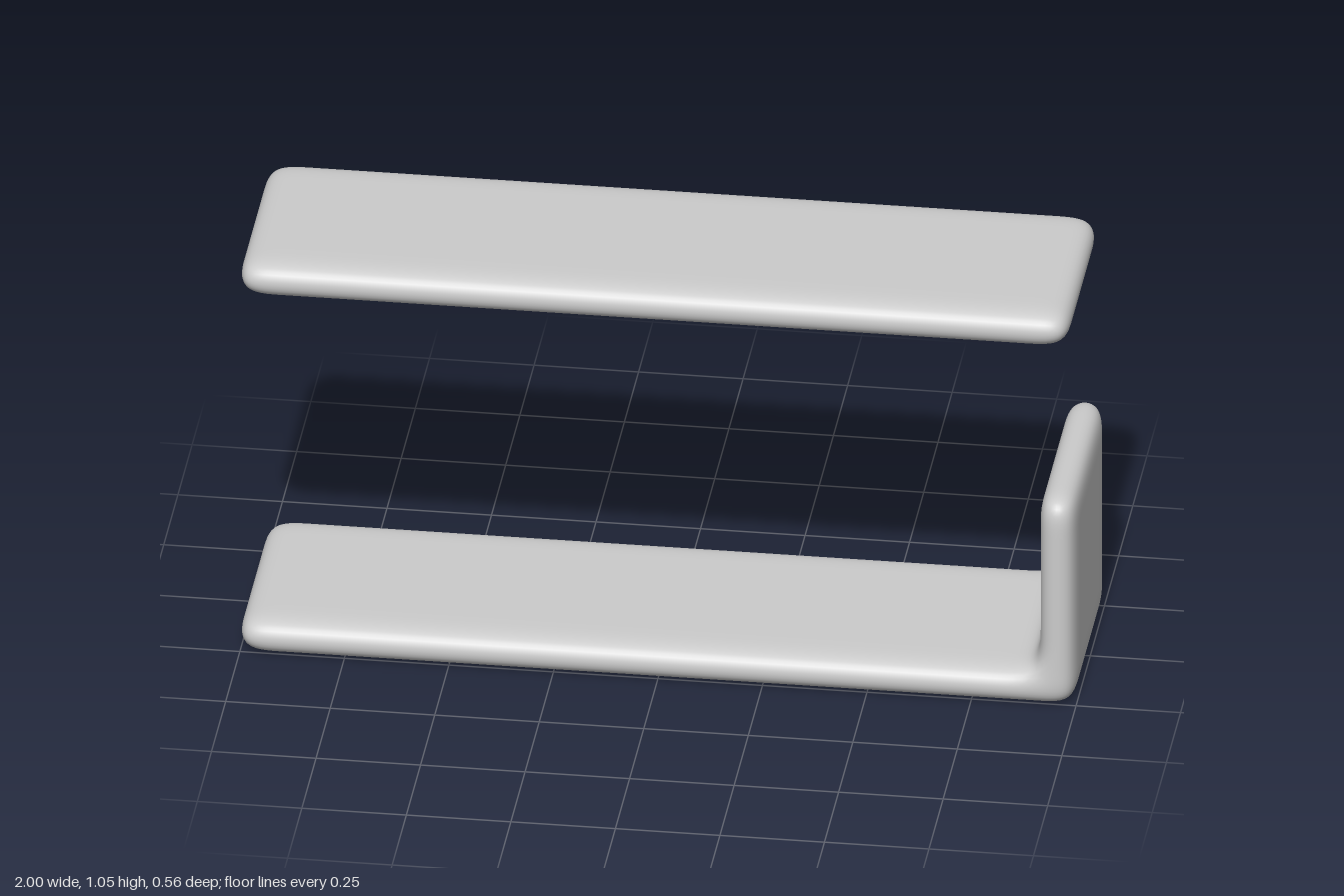
import * as THREE from 'three';

// Outer quads of the filled cells in a grid given by coordinate lists per axis
function gridCage(axes, filled) {
  const ids = new Map(), verts = [], quads = [];
  const count = axes.map((a) => a.length - 1);
  const isFull = (c) => c.every((n, i) => n >= 0 && n < count[i]) && filled(c);
  const vertex = (c) => {
    const key = c.join();
    if (!ids.has(key)) {
      ids.set(key, verts.length);
      verts.push(new THREE.Vector3(...c.map((n, i) => axes[i][n])));
    }
    return ids.get(key);
  };
  for (let i = 0; i < count[0]; i++) for (let j = 0; j < count[1]; j++) for (let k = 0; k < count[2]; k++) {
    const cell = [i, j, k];
    if (!isFull(cell)) continue;
    for (let d = 0; d < 3; d++) for (const s of [-1, 1]) {
      const next = [...cell];
      next[d] += s;
      if (isFull(next)) continue;
      const quad = [[0, 0], [1, 0], [1, 1], [0, 1]].map(([u, v]) => {
        const c = [...cell];
        if (s > 0) c[d]++;
        c[(d + 1) % 3] += u;
        c[(d + 2) % 3] += v;
        return vertex(c);
      });
      quads.push(s > 0 ? quad : quad.reverse());
    }
  }
  return { verts, quads };
}

// One round of Catmull-Clark smoothing on a closed quad mesh
function subdivide({ verts, quads }) {
  const n = verts.length;
  const out = verts.map(() => new THREE.Vector3());
  const edges = new Map(), result = [];
  const faceSum = verts.map(() => new THREE.Vector3());
  const edgeSum = verts.map(() => new THREE.Vector3());
  const valence = new Array(n).fill(0);
  const edgeOf = (a, b) => {
    const key = Math.min(a, b) * n + Math.max(a, b);
    if (!edges.has(key)) {
      const mid = verts[a].clone().add(verts[b]);
      edges.set(key, out.length);
      out.push(mid.clone().multiplyScalar(0.25));
      for (const v of [a, b]) {
        edgeSum[v].addScaledVector(mid, 0.5);
        valence[v]++;
      }
    }
    return edges.get(key);
  };
  for (const q of quads) {
    const centre = new THREE.Vector3();
    q.forEach((v) => centre.addScaledVector(verts[v], 0.25));
    const f = out.push(centre) - 1;
    const e = q.map((v, i) => edgeOf(v, q[(i + 1) % 4]));
    q.forEach((v, i) => {
      faceSum[v].add(centre);
      out[e[i]].addScaledVector(centre, 0.25);
      result.push([v, e[i], f, e[(i + 3) % 4]]);
    });
  }
  for (let v = 0; v < n; v++) {
    const k = valence[v];
    out[v].copy(verts[v]).multiplyScalar((k - 3) / k)
      .addScaledVector(faceSum[v], 1 / (k * k))
      .addScaledVector(edgeSum[v], 2 / (k * k));
  }
  return { verts: out, quads: result };
}

function softSolid(name, axes, filled, material) {
  let cage = gridCage(axes, filled);
  for (let i = 0; i < 3; i++) cage = subdivide(cage);
  const geometry = new THREE.BufferGeometry().setFromPoints(cage.verts);
  geometry.setIndex(cage.quads.flatMap(([a, b, c, d]) => [a, b, c, a, c, d]));
  geometry.computeVertexNormals();
  const mesh = new THREE.Mesh(geometry, material);
  mesh.name = name;
  return mesh;
}

export function createModel() {
  const group = new THREE.Group();
  group.name = 'wallShelves';
  const grey = new THREE.MeshStandardMaterial({ color: 0xcccccc });
  grey.name = 'light grey';
  const depth = [-0.28, -0.17, 0, 0.17, 0.28];

  // Straight upper board
  group.add(softSolid('upperShelf',
    [[-1.005, -0.9, -0.75, 0, 0.73, 0.88, 0.985], [0.965, 1.054], depth],
    () => true, grey));

  // Lower board that turns up into an end panel
  group.add(softSolid('lowerShelf',
    [[-1.005, -0.9, -0.75, 0, 0.65, 0.8, 0.91, 1], [0.003, 0.093, 0.2, 0.31, 0.47, 0.56], depth],
    ([i, j]) => j === 0 || i === 6, grey));

  return group;
}
